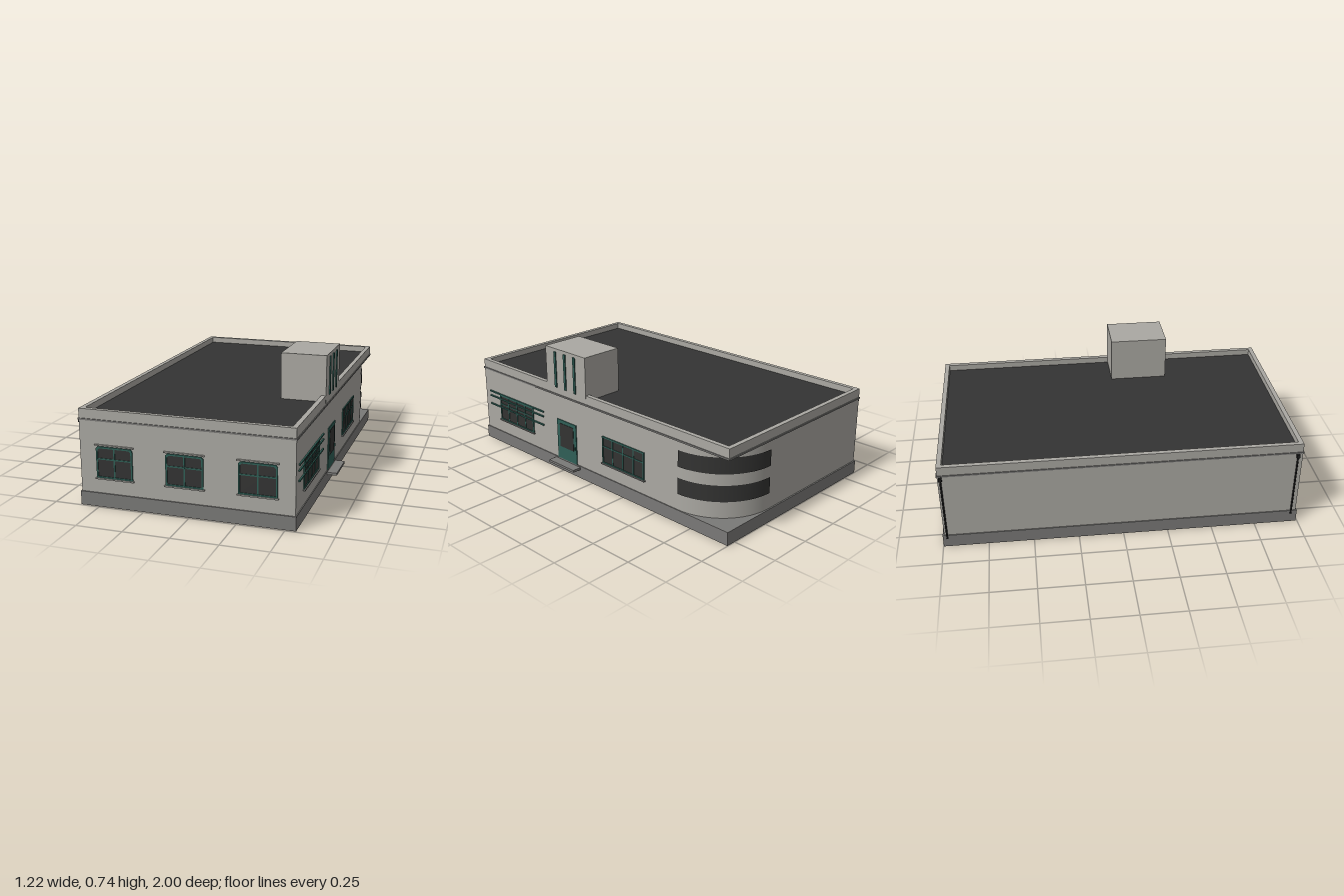
import * as THREE from 'three';
import { toCreasedNormals } from 'three/addons/utils/BufferGeometryUtils.js';

const mat = (name, color, side = THREE.FrontSide) => {
  const m = new THREE.MeshStandardMaterial({ color, side });
  m.name = name;
  return m;
};

export function createModel() {
  const wall = mat('wall plaster', 0xaaa8a2);
  const stone = mat('plinth grey', 0x7a7977);
  const roofing = mat('roofing', 0x333333);
  const green = mat('green paint', 0x2f5f56);
  const glass = mat('dark glass', 0x333332, THREE.DoubleSide);
  const iron = mat('black iron', 0x1c1c1c);

  const model = new THREE.Group();
  model.name = 'building';

  // Box given by its minimum and maximum corners
  function box(parent, name, material, x0, x1, y0, y1, z0, z1) {
    const mesh = new THREE.Mesh(new THREE.BoxGeometry(x1 - x0, y1 - y0, z1 - z0), material);
    mesh.position.set((x0 + x1) / 2, (y0 + y1) / 2, (z0 + z1) / 2);
    mesh.name = name;
    parent.add(mesh);
    return mesh;
  }
  function extrude(parent, name, material, shape, depth) {
    const geo = new THREE.ExtrudeGeometry(shape, { depth, bevelEnabled: false, curveSegments: 24 });
    const mesh = new THREE.Mesh(toCreasedNormals(geo, 0.5), material);
    mesh.name = name;
    parent.add(mesh);
    return mesh;
  }

  const X0 = -0.6, X1 = 0.55, Z0 = -0.99, Z1 = 0.985, R = 0.33;

  // Plinth and walls with one rounded back corner
  box(model, 'plinth', stone, X0 - 0.005, X1 + 0.005, 0, 0.075, -0.998, 0.992);
  const plan = new THREE.Shape();
  plan.moveTo(X0, -Z1);
  plan.lineTo(X1, -Z1);
  plan.lineTo(X1, -Z0 - R);
  plan.absarc(X1 - R, -Z0 - R, R, 0, Math.PI / 2, false);
  plan.lineTo(X0, -Z0);
  plan.closePath();
  const walls = extrude(model, 'walls', wall, plan, 0.39);
  walls.rotation.x = -Math.PI / 2;
  walls.position.y = 0.075;

  // Curved window bands
  for (const y of [0.215, 0.37]) {
    const geo = new THREE.CylinderGeometry(R + 0.005, R + 0.005, 0.092, 28, 1, true, Math.PI / 2, Math.PI / 2);
    const band = new THREE.Mesh(geo, glass);
    band.position.set(X1 - R, y, Z0 + R);
    band.name = 'curvedWindowBand';
    model.add(band);
  }

  // Roof slab, cornice and parapet
  box(model, 'cornice', stone, X0 - 0.004, X1 + 0.005, 0.462, 0.471, Z0 - 0.005, Z1 + 0.005);
  box(model, 'roof', roofing, X0 + 0.01, X1 - 0.01, 0.468, 0.487, Z0 + 0.01, Z1 - 0.01);
  const T = 0.026;
  for (const [a, b] of [[Z0, Z0 + T], [Z1 - T, Z1]]) box(model, 'parapet', wall, X0, X1, 0.471, 0.522, a, b);
  for (const [a, b] of [[X0, X0 + T], [X1 - T, X1]]) box(model, 'parapet', wall, a, b, 0.471, 0.522, Z0 + T, Z1 - T);

  // Tower with three vertical fins
  box(model, 'tower', wall, 0.3, X1 + 0.001, 0.48, 0.742, 0.037, 0.37);
  for (const z of [0.126, 0.206, 0.287]) box(model, 'towerFin', green, X1, X1 + 0.007, 0.512, 0.724, z - 0.008, z + 0.008);

  // Rectangle outline with clipped top corners
  function clipped(Type, x, y0, y1, c) {
    const s = new Type();
    s.moveTo(-x, y0);
    s.lineTo(x, y0);
    s.lineTo(x, y1 - c);
    s.lineTo(x - c, y1);
    s.lineTo(-x + c, y1);
    s.lineTo(-x, y1 - c);
    s.closePath();
    return s;
  }

  // Window facing +z, with its wall plane at z = 0
  function makeWindow({ w, y0, y1, cols, rail, frame, clip, lintel, sillMaterial }) {
    const g = new THREE.Group();
    g.name = 'window';
    const h = w / 2;
    const outline = clipped(THREE.Shape, h, y0, y1, clip);
    outline.holes.push(clipped(THREE.Path, h - frame, y0 + frame, y1 - frame, clip));
    extrude(g, 'windowFrame', green, outline, 0.006);
    extrude(g, 'windowGlass', glass, clipped(THREE.Shape, h - frame / 2, y0 + frame / 2, y1 - frame / 2, clip), 0.002);
    const b = frame * 0.42;
    for (let i = 1; i < cols; i++) {
      const x = -h + (w * i) / cols;
      box(g, 'windowMullion', green, x - b, x + b, y0 + frame, y1 - frame, 0, 0.005);
    }
    box(g, 'windowRail', green, -h + frame, h - frame, rail - b, rail + b, 0, 0.0048);
    box(g, 'windowSill', sillMaterial, -h - 0.006, h + 0.006, y0 - 0.006, y0 + 0.001, 0, 0.012);
    if (lintel) box(g, 'windowLintel', sillMaterial, -h - 0.007, h + 0.007, y1 + 0.004, y1 + 0.011, 0, 0.01);
    return g;
  }

  // Front windows
  for (const x of [-0.407, -0.024, 0.359]) {
    const win = makeWindow({ w: 0.202, y0: 0.158, y1: 0.328, cols: 2, rail: 0.262, frame: 0.009, clip: 0.01, lintel: true, sillMaterial: wall });
    win.position.set(x, 0, Z1);
    model.add(win);
  }

  // Side windows
  for (const z of [0.676, -0.254]) {
    const win = makeWindow({ w: 0.324, y0: 0.16, y1: 0.322, cols: 4, rail: 0.262, frame: 0.008, clip: 0, lintel: false, sillMaterial: stone });
    win.position.set(X1, 0, z);
    win.rotation.y = Math.PI / 2;
    model.add(win);
  }

  // Horizontal bars across the forward side window
  for (const y of [0.24, 0.294, 0.324]) box(model, 'decorativeBar', green, X1, X1 + 0.008, y - 0.004, y + 0.004, 0.416, 0.938);

  // Door, glazing, handle and step
  box(model, 'door', green, X1, X1 + 0.005, 0.075, 0.318, 0.127, 0.291);
  box(model, 'doorGlass', glass, X1, X1 + 0.007, 0.152, 0.297, 0.15, 0.266);
  box(model, 'doorHandle', green, X1, X1 + 0.01, 0.165, 0.182, 0.133, 0.138);
  box(model, 'doorStep', stone, X1 - 0.01, 0.61, 0.054, 0.068, 0.097, 0.312);

  // Downpipes on the far side wall
  for (const z of [0.957, -0.974]) {
    const pipe = new THREE.Mesh(new THREE.CylinderGeometry(0.005, 0.005, 0.39, 10), iron);
    pipe.position.set(X0 - 0.005, 0.25, z);
    pipe.name = 'downpipe';
    model.add(pipe);
    box(model, 'rainHopper', iron, X0 - 0.014, X0, 0.44, 0.46, z - 0.009, z + 0.009);
  }

  return model;
}
